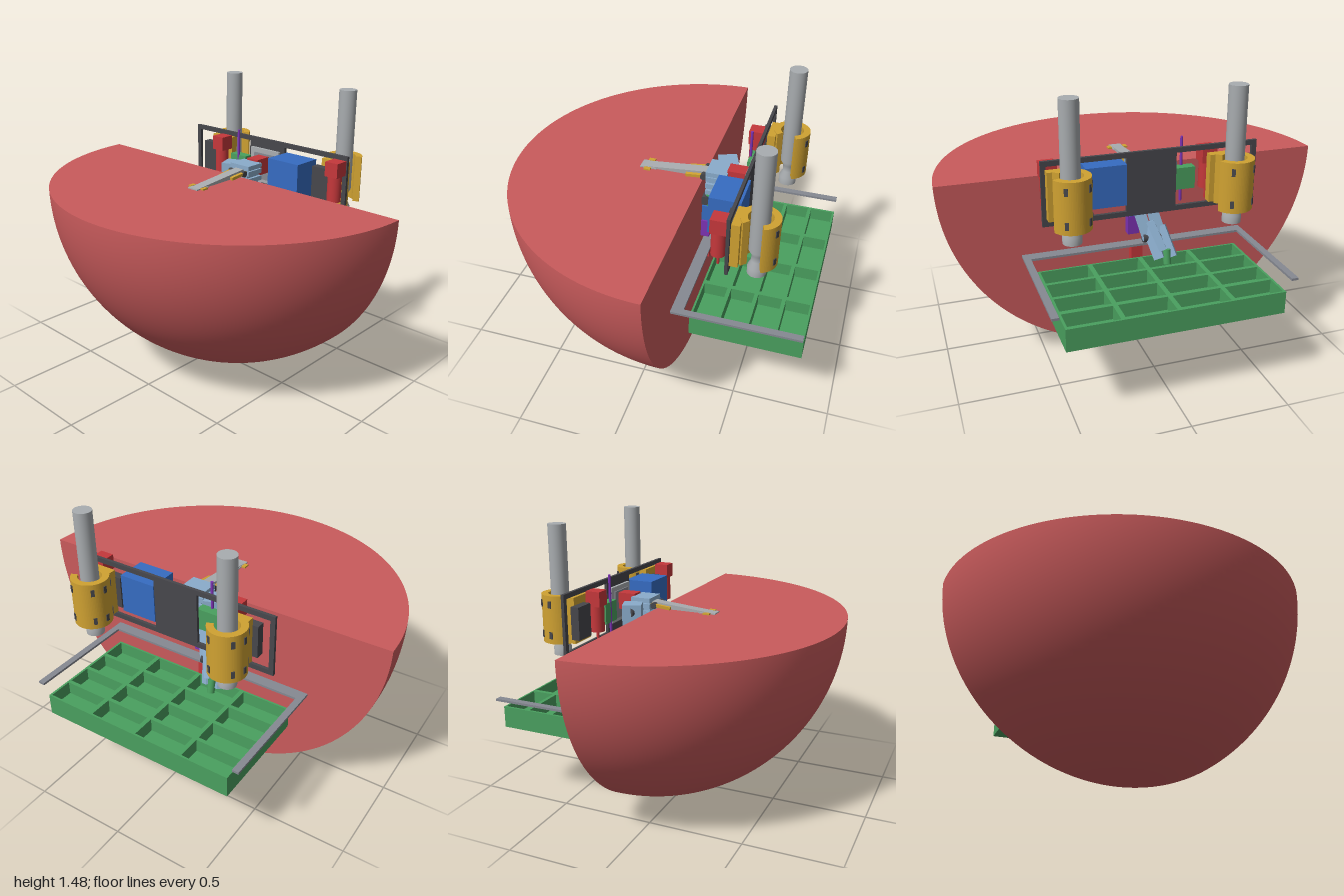
import * as THREE from 'three';

const mat = (name, color, side = THREE.FrontSide) => {
  const m = new THREE.MeshStandardMaterial({ color, side });
  m.name = name;
  return m;
};

export function createModel() {
  const root = new THREE.Group();
  root.name = 'model';
  const shellRed = mat('shell red', 0xc95b5c), red = mat('motor red', 0xc5383b);
  const green = mat('green', 0x4aa05f), gold = mat('gold', 0xd0a232);
  const blue = mat('blue', 0x366cc2), paleBlue = mat('pale blue', 0x8aaccb);
  const grey = mat('light grey', 0xa9adb0), dark = mat('dark grey', 0x47474c);
  const railGrey = mat('rail grey', 0x868992), purple = mat('purple', 0x7d33b4);

  const add = (name, geo, m, parent = root) => {
    const mesh = new THREE.Mesh(geo, m);
    mesh.name = name;
    parent.add(mesh);
    return mesh;
  };
  // box from its lower and upper limits
  const box = (name, m, x0, x1, y0, y1, z0, z1, parent) => add(name,
    new THREE.BoxGeometry(x1 - x0, y1 - y0, z1 - z0)
      .translate((x0 + x1) / 2, (y0 + y1) / 2, (z0 + z1) / 2), m, parent);
  const rect = (x0, x1, y0, y1, Type = THREE.Path) => new Type([[x0, y0], [x1, y0], [x1, y1], [x0, y1]]
    .map(p => new THREE.Vector2(...p)));
  // shape drawn in (x, -z), extruded upwards from y0
  const slab = (name, m, shape, y0, h, parent) => add(name,
    new THREE.ExtrudeGeometry(shape, { depth: h, bevelEnabled: false, curveSegments: 32 })
      .rotateX(-Math.PI / 2).translate(0, y0, 0), m, parent);
  // round pin or box bar between two points
  const bar = (name, m, a, b, w, d, round = false, parent = root) => {
    const p = new THREE.Vector3(...a), q = new THREE.Vector3(...b), len = p.distanceTo(q);
    const geo = round ? new THREE.CylinderGeometry(w, w, len, 24) : new THREE.BoxGeometry(w, len, d);
    const mesh = add(name, geo, m, parent);
    mesh.position.copy(p).add(q).multiplyScalar(0.5);
    mesh.quaternion.setFromUnitVectors(new THREE.Vector3(0, 1, 0), q.sub(p).normalize());
    return mesh;
  };

  // solid quarter sphere: curved shell, flat top, flat back
  const body = new THREE.Group();
  body.name = 'quarterSphere';
  body.position.set(0, 1, -0.18);
  root.add(body);
  add('shell', new THREE.SphereGeometry(1, 96, 48, 0, Math.PI, Math.PI / 2, Math.PI / 2), shellRed, body);
  add('topFace', new THREE.CircleGeometry(1, 96, Math.PI, Math.PI).rotateX(-Math.PI / 2), shellRed, body);
  add('backFace', new THREE.CircleGeometry(1, 96, Math.PI, Math.PI).rotateY(Math.PI), shellRed, body);

  // compartment tray
  const tray = rect(-0.54, 0.54, 0.26, 0.83, THREE.Shape);
  for (let i = 0; i < 4; i++) for (let j = 0; j < 4; j++) {
    const x = -0.54 + i * 0.27, z = 0.26 + j * 0.1425;
    tray.holes.push(rect(x + 0.012, x + 0.258, z + 0.01, z + 0.1325));
  }
  slab('trayWalls', green, tray, 0.45, 0.07);
  box('trayFloor', green, -0.54, 0.54, 0.405, 0.45, -0.83, -0.26);

  // U-shaped rail around the tray
  const rail = new THREE.Shape([[-0.6, 0.18], [0.6, 0.18], [0.6, 0.83], [0.565, 0.83], [0.565, 0.24],
    [-0.565, 0.24], [-0.565, 0.83], [-0.6, 0.83]].map(p => new THREE.Vector2(...p)));
  slab('rail', railGrey, rail, 0.573, 0.012);

  // mounting frame with windows
  const frame = rect(-0.54, 0.54, 0.84, 1.16, THREE.Shape);
  for (const [a, b] of [[-0.515, -0.12], [0.13, 0.515]]) frame.holes.push(rect(a, b, 0.865, 1.135));
  add('mountingFrame', new THREE.ExtrudeGeometry(frame, { depth: 0.016, bevelEnabled: false })
    .translate(0, 0, -0.44), dark);

  // vertical rods held by open clamps, each with a mount plate and a motor
  [[-0.366, -0.3], [0.43, 0.497]].forEach(([x, mx]) => {
    const unit = new THREE.Group();
    unit.name = 'rodUnit';
    unit.position.set(x, 0, -0.557);
    root.add(unit);
    const rod = [[0, 0.8], [0.046, 0.8], [0.046, 0.84], [0.03, 0.875], [0.03, 0.91], [0.046, 0.94],
      [0.046, 1.475], [0, 1.475]];
    const rodGeo = new THREE.LatheGeometry(rod.slice(1, 7).map(p => new THREE.Vector2(...p)), 40);
    add('rod', rodGeo, grey, unit);
    add('rodTop', new THREE.CircleGeometry(0.046, 40).rotateX(-Math.PI / 2).translate(0, 1.475, 0), grey, unit);
    add('rodBottom', new THREE.CircleGeometry(0.046, 40).rotateX(Math.PI / 2).translate(0, 0.8, 0), grey, unit);
    const ring = new THREE.Shape();
    ring.absarc(0, 0, 0.095, 0.35, 5.5, false);
    ring.absarc(0, 0, 0.06, 5.5, 0.35, true);
    slab('clamp', gold, ring, 0.875, 0.25, unit);
    box('clampFoot', gold, -0.06, 0.09, 0.88, 1.12, 0.075, 0.117, unit);
    // clamp screws
    for (const y of [0.92, 1.08]) for (const a of [1.1, 2.4, 3.1, 3.9]) {
      const s = box('clampScrew', dark, 0.085, 0.099, y - 0.018, y + 0.018, -0.009, 0.009, unit);
      s.rotation.y = a;
    }
    box('mountPlate', dark, -0.09, 0.025, 0.91, 1.08, 0.115, 0.16, unit);
    // motor
    box('motorHead', red, mx - 0.038, mx + 0.038, 1.06, 1.138, -0.425, -0.345);
    bar('motorBody', red, [mx, 0.925, -0.383], [mx, 1.06, -0.383], 0.037, 0, true);
    bar('motorShaft', red, [mx, 0.865, -0.383], [mx, 0.925, -0.383], 0.007, 0, true);
  });

  // boxes carried by the frame
  box('controlBox', blue, 0.13, 0.33, 0.9, 1.105, -0.445, -0.285);
  box('greenModule', green, -0.225, -0.11, 0.94, 1.05, -0.425, -0.375);
  bar('purpleShaft', purple, [-0.168, 0.865, -0.38], [-0.168, 1.195, -0.38], 0.007, 0, true);
  box('greyPanel', grey, -0.1, 0.1, 0.91, 1.105, -0.424, -0.408);
  box('greyPanelInset', railGrey, -0.07, 0.07, 0.93, 1.08, -0.408, -0.402);
  box('shoulderMotor', red, -0.037, 0.037, 0.98, 1.07, -0.405, -0.305);

  // shoulder: stacked bracket plates with a side joint
  const shoulder = new THREE.Group();
  shoulder.name = 'shoulder';
  root.add(shoulder);
  for (const y of [0.925, 0.965, 1.005, 1.035])
    box('shoulderPlate', paleBlue, -0.065, 0.065, y, y + 0.025, -0.31, -0.2, shoulder);
  box('shoulderCore', paleBlue, -0.05, 0.05, 0.93, 1.055, -0.3, -0.205, shoulder);
  const side = box('sideBracket', paleBlue, -0.05, 0.05, -0.06, 0.06, -0.05, 0.05, shoulder);
  side.position.set(-0.115, 0.98, -0.275);
  side.rotation.y = 0.35;
  bar('sidePin', dark, [-0.16, 1.0, -0.27], [-0.135, 1.0, -0.26], 0.025, 0, true, shoulder);
  bar('frontPin', dark, [-0.055, 1.02, -0.185], [0.055, 1.02, -0.185], 0.017, 0, true, shoulder);

  // gripper beak resting on the flat top
  const profile = new THREE.Shape([[-0.16, 1.002], [0.21, 1.005], [0.21, 1.04], [0.1, 1.03], [-0.16, 1.006]]
    .map(p => new THREE.Vector2(...p)));
  add('beak', new THREE.ExtrudeGeometry(profile, { depth: 0.056, bevelEnabled: false })
    .translate(0, 0, -0.028).rotateY(Math.PI / 2), grey);
  box('beakTip', grey, -0.033, 0.033, 1.002, 1.008, 0.07, 0.16);
  for (const s of [-1, 1]) {
    box('tipPad', gold, s * 0.043 - 0.011, s * 0.043 + 0.011, 1.002, 1.01, 0.1, 0.135);
    bar('beakFinger', gold, [s * 0.04, 1.012, -0.09], [s * 0.045, 1.025, -0.2], 0.018, 0.016);
  }

  // hanging column behind the flat back
  const column = new THREE.Group();
  column.name = 'column';
  root.add(column);
  bar('columnHead', green, [0, 0.9, -0.215], [0, 0.835, -0.235], 0.07, 0.06, false, column);
  box('columnBlue', blue, -0.02, 0.04, 0.74, 0.83, -0.225, -0.18, column);
  box('columnPurple', purple, -0.01, 0.05, 0.64, 0.74, -0.225, -0.18, column);
  box('columnFoot', red, -0.03, 0.03, 0.485, 0.568, -0.225, -0.18, column);
  bar('columnPin', dark, [-0.05, 0.87, -0.195], [0.05, 0.87, -0.195], 0.025, 0, true, column);
  bar('columnStrut', dark, [-0.045, 0.87, -0.195], [-0.045, 0.685, -0.195], 0.012, 0.012, false, column);

  // lower arm reaching down to the tray
  const arm = new THREE.Group();
  arm.name = 'lowerArm';
  root.add(arm);
  for (const s of [-0.035, 0.035]) {
    bar('upperLink', paleBlue, [s - 0.04, 0.78, -0.22], [s - 0.08, 0.62, -0.27], 0.018, 0.06, false, arm);
    bar('lowerLink', paleBlue, [s - 0.08, 0.68, -0.255], [s - 0.12, 0.53, -0.33], 0.018, 0.055, false, arm);
  }
  bar('armCore', paleBlue, [-0.06, 0.71, -0.25], [-0.11, 0.57, -0.315], 0.06, 0.04, false, arm);
  bar('elbowPin', dark, [-0.14, 0.625, -0.255], [-0.02, 0.625, -0.255], 0.026, 0, true, arm);
  bar('pickerTip', green, [-0.125, 0.5, -0.34], [-0.125, 0.575, -0.325], 0.02, 0, true, arm);

  return root;
}
